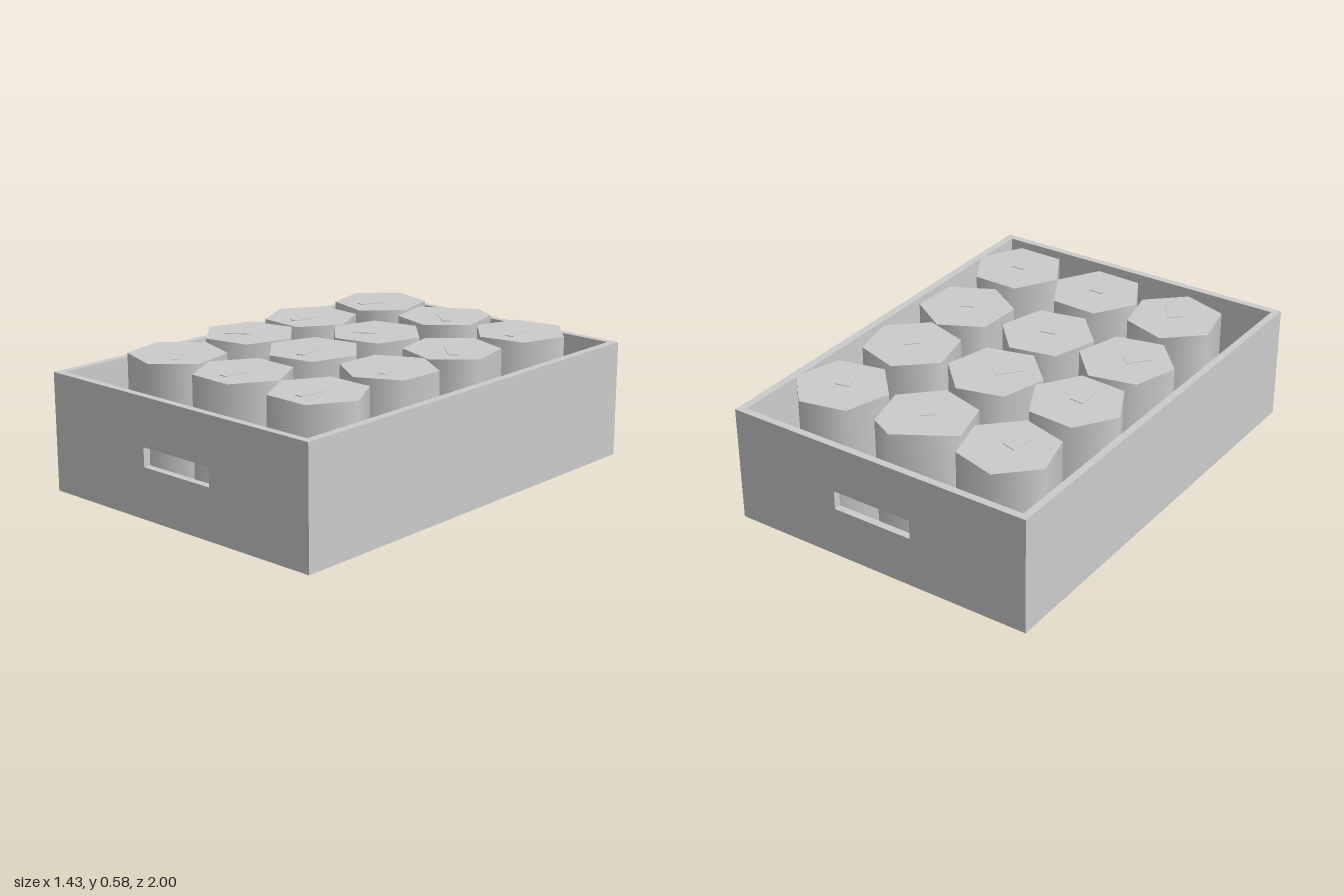
import * as THREE from 'three';

const WALL_H = 0.515, CAN_H = 0.573, CAN_R = 0.208;

// Tin positions on the floor plan: x, z, direction of the tab in degrees (from +x towards +z)
const TINS = [
  [-0.435, -0.685, 105], [-0.035, -0.675, 45], [0.39, -0.68, 77],
  [-0.46, -0.25, 93], [-0.055, -0.24, 135], [0.37, -0.245, 47],
  [-0.445, 0.147, 137], [-0.045, 0.16, 77], [0.38, 0.16, 62],
  [-0.415, 0.59, 47], [-0.01, 0.6, 91], [0.41, 0.6, 90],
];
const DENTED = 1;

// Prism standing on y = 0 from a floor plan of [x, z] points
function prism(points, height) {
  const shape = new THREE.Shape(points.map(([x, z]) => new THREE.Vector2(x, -z)));
  const geo = new THREE.ExtrudeGeometry(shape, { depth: height, bevelEnabled: false });
  return geo.rotateX(-Math.PI / 2);
}

// End wall with a hand slot; its z runs from zLeft at x0 to zRight at x1
function endWall(x0, x1, zLeft, zRight, thick) {
  const shape = new THREE.Shape();
  shape.moveTo(x0, 0).lineTo(x1, 0).lineTo(x1, WALL_H).lineTo(x0, WALL_H).closePath();
  const slot = new THREE.Path();
  slot.moveTo(-0.18, 0.222).lineTo(-0.18, 0.305).lineTo(0.19, 0.305).lineTo(0.19, 0.222).closePath();
  shape.holes.push(slot);
  const geo = new THREE.ExtrudeGeometry(shape, { depth: thick, bevelEnabled: false });
  const p = geo.attributes.position;
  for (let i = 0; i < p.count; i++) {
    const t = (p.getX(i) - x0) / (x1 - x0);
    p.setZ(i, p.getZ(i) + THREE.MathUtils.lerp(zLeft, zRight, t));
  }
  geo.computeVertexNormals();
  return geo;
}

export function createModel() {
  const group = new THREE.Group();
  const mat = new THREE.MeshStandardMaterial({ color: 0xcccccc });
  const add = (parent, name, geo) => {
    const mesh = new THREE.Mesh(geo, mat);
    mesh.name = name;
    parent.add(mesh);
    return mesh;
  };

  // Crate: four slightly crooked walls, open above and below
  const crate = new THREE.Group();
  crate.name = 'crate';
  group.add(crate);
  add(crate, 'frontWall', endWall(-0.72, 0.715, 0.967, 0.938, 0.032));
  add(crate, 'backWall', endWall(-0.72, 0.685, -0.99, -1, 0.032));
  add(crate, 'leftWall', prism([[0.65, -0.968], [0.685, -0.968], [0.715, 0.938], [0.68, 0.939]], WALL_H));
  add(crate, 'rightWall', prism([[-0.72, -0.958], [-0.688, -0.958], [-0.688, 0.966], [-0.72, 0.967]], WALL_H));

  // Six-sided tins, each with a tapered tab on its lid
  const tabGeo = prism([[-0.033, -0.005], [0.033, -0.005], [0.018, 0.112], [-0.018, 0.112]], 0.003);
  TINS.forEach(([x, z, deg], i) => {
    const tin = new THREE.Group();
    tin.name = 'tin' + (i + 1);
    tin.position.set(x, 0, z);
    group.add(tin);

    const turn = THREE.MathUtils.degToRad(90 - deg);
    const geo = new THREE.CylinderGeometry(CAN_R, CAN_R, CAN_H, 6, 1, false, Math.PI / 6);
    geo.translate(0, CAN_H / 2, 0).rotateY(turn);
    if (i === DENTED) {
      // One lid corner is pushed sideways
      const p = geo.attributes.position;
      for (let k = 0; k < p.count; k++) {
        const near = Math.hypot(p.getX(k) + 0.054, p.getZ(k) + 0.2) < 0.05;
        if (near && p.getY(k) > 0.5) p.setX(k, p.getX(k) + 0.09);
      }
    }
    add(tin, 'tinBody', geo);
    const tab = add(tin, 'tab', tabGeo);
    tab.position.y = CAN_H;
    tab.rotation.y = turn;
  });

  return group;
}
